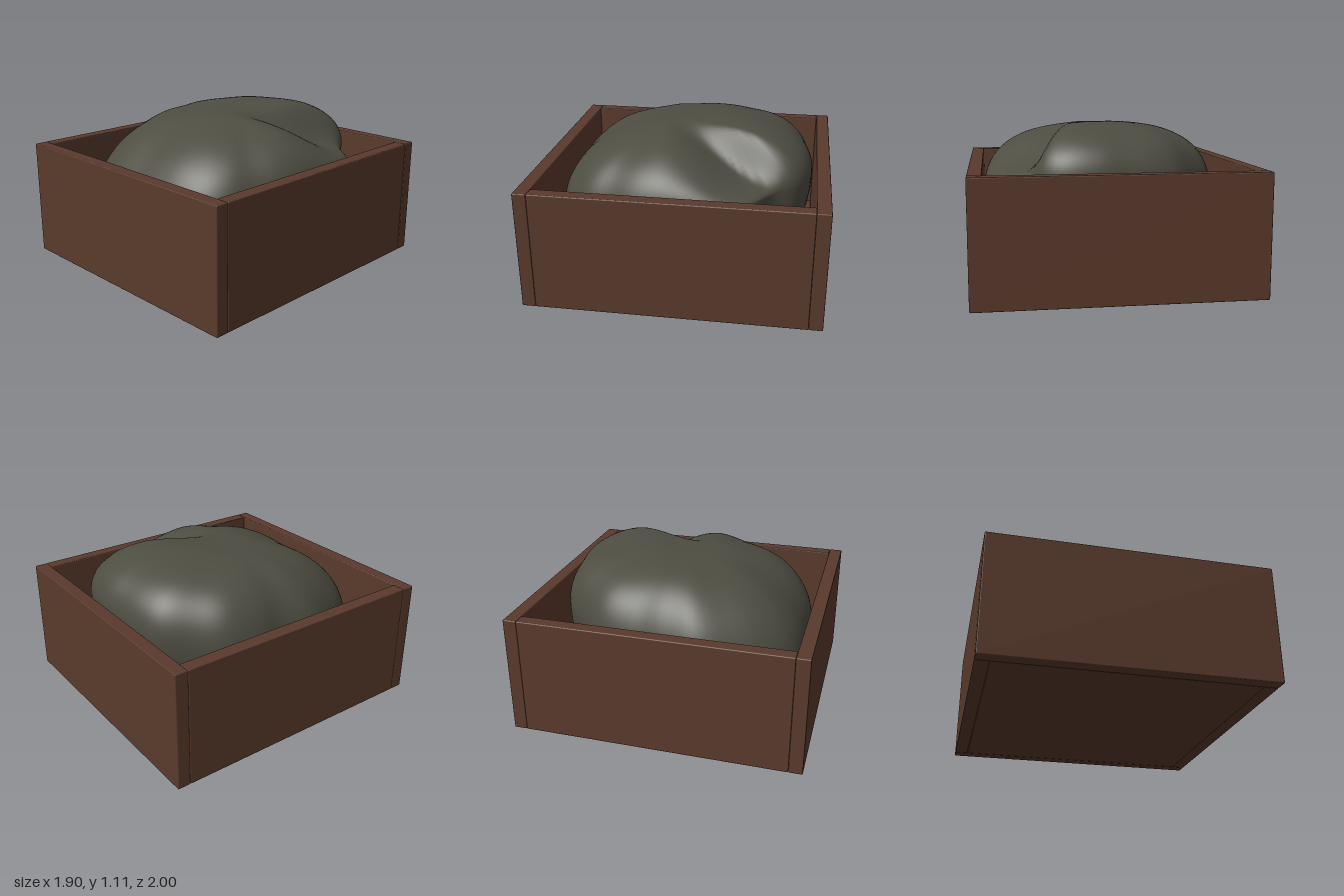
import * as THREE from 'three';
import { mergeVertices } from 'three/addons/utils/BufferGeometryUtils.js';
import { RoundedBoxGeometry } from 'three/addons/geometries/RoundedBoxGeometry.js';

// widest outline of the boulder as x, z pairs, counter-clockwise seen from above
const OUTLINE = [
  [0.13, -0.88], [-0.05, -0.86], [-0.25, -0.83], [-0.4, -0.77], [-0.55, -0.62], [-0.7, -0.44],
  [-0.76, -0.2], [-0.75, 0], [-0.79, 0.27], [-0.71, 0.52], [-0.6, 0.71], [-0.45, 0.84],
  [-0.27, 0.885], [0, 0.885], [0.2, 0.88], [0.4, 0.84], [0.58, 0.74], [0.68, 0.61],
  [0.73, 0.45], [0.81, 0.25], [0.84, 0], [0.83, -0.28], [0.76, -0.47], [0.56, -0.64],
  [0.48, -0.77], [0.35, -0.85],
];
const FLOOR = 0.09;

// crown height, with a diagonal step between the high back lobe and the right lobe
function crown(x, z) {
  const bump = 0.03 * Math.exp(-((x - 0.15) ** 2 + (z + 0.45) ** 2) / 0.12);
  const d = (x - 0.57) * 0.9 + (z + 0.62) * 0.43;
  const step = THREE.MathUtils.smoothstep(d, -0.16, 0.02);
  const fade = 1 - THREE.MathUtils.smoothstep(z, -0.5, 0.15);
  const ripple = 0.006 * Math.sin(9 * x + 3 * z) * Math.sin(8 * z - 2 * x);
  return 1.09 + bump + ripple - 0.25 * step * fade;
}

// rings run from the crown out to the belt and back in to the underside
function boulderGeometry() {
  const around = 112, upper = 32, lower = 14, rows = upper + lower;
  const curve = new THREE.CatmullRomCurve3(
    OUTLINE.map(([x, z]) => new THREE.Vector3(x, 0, z)), true);
  const rim = curve.getSpacedPoints(around);
  const positions = [], index = [];
  for (let i = 0; i <= rows; i++) {
    const top = i <= upper;
    const t = top ? i / upper : (rows - i) / lower;
    const s = Math.sin(t * Math.PI / 2);
    for (let j = 0; j < around; j++) {
      const p = rim[j], r = Math.hypot(p.x, p.z);
      const c = p.x / r, f = p.z / r;
      const belt = 0.59 + 0.08 * c - 0.16 * f;
      const x = p.x * s, z = p.z * s;
      const round = top
        ? Math.pow(Math.max(0, 1 - Math.pow(s, 3 - f)), 0.45)
        : Math.pow(Math.max(0, 1 - Math.pow(s, 4)), 0.5);
      positions.push(x, belt + ((top ? crown(x, z) : FLOOR) - belt) * round, z);
      if (i < rows) {
        const k = (j + 1) % around;
        const a = i * around + j, b = a + around, e = i * around + k, g = e + around;
        index.push(a, b, g, a, g, e);
      }
    }
  }
  const geometry = new THREE.BufferGeometry();
  geometry.setAttribute('position', new THREE.Float32BufferAttribute(positions, 3));
  geometry.setIndex(index);
  const merged = mergeVertices(geometry, 1e-5);
  merged.computeVertexNormals();
  return merged;
}

export function createModel() {
  const wood = new THREE.MeshStandardMaterial({ color: 0x5a3a2c });
  wood.name = 'brown wood';
  const stone = new THREE.MeshStandardMaterial({ color: 0x4e4d42 });
  stone.name = 'grey stone';

  const model = new THREE.Group();
  model.name = 'boulderInCrate';

  const board = (name, w, h, d, x, y, z) => {
    const mesh = new THREE.Mesh(new RoundedBoxGeometry(w, h, d, 2, 0.007), wood);
    mesh.name = name;
    mesh.position.set(x, y, z);
    model.add(mesh);
  };

  // crate: long end boards, side boards between them, floor inside
  const H = 0.825;
  board('frontBoard', 1.9, H, 0.092, 0, H / 2, 0.954);
  board('backBoard', 1.9, H, 0.092, 0, H / 2, -0.954);
  board('leftBoard', 0.092, H, 1.815, 0.904, H / 2, 0);
  board('rightBoard', 0.092, H, 1.815, -0.904, H / 2, 0);
  board('floorBoard', 1.715, FLOOR, 1.815, 0, FLOOR / 2, 0);

  // boulder
  const boulder = new THREE.Mesh(boulderGeometry(), stone);
  boulder.name = 'boulder';
  model.add(boulder);
  return model;
}
